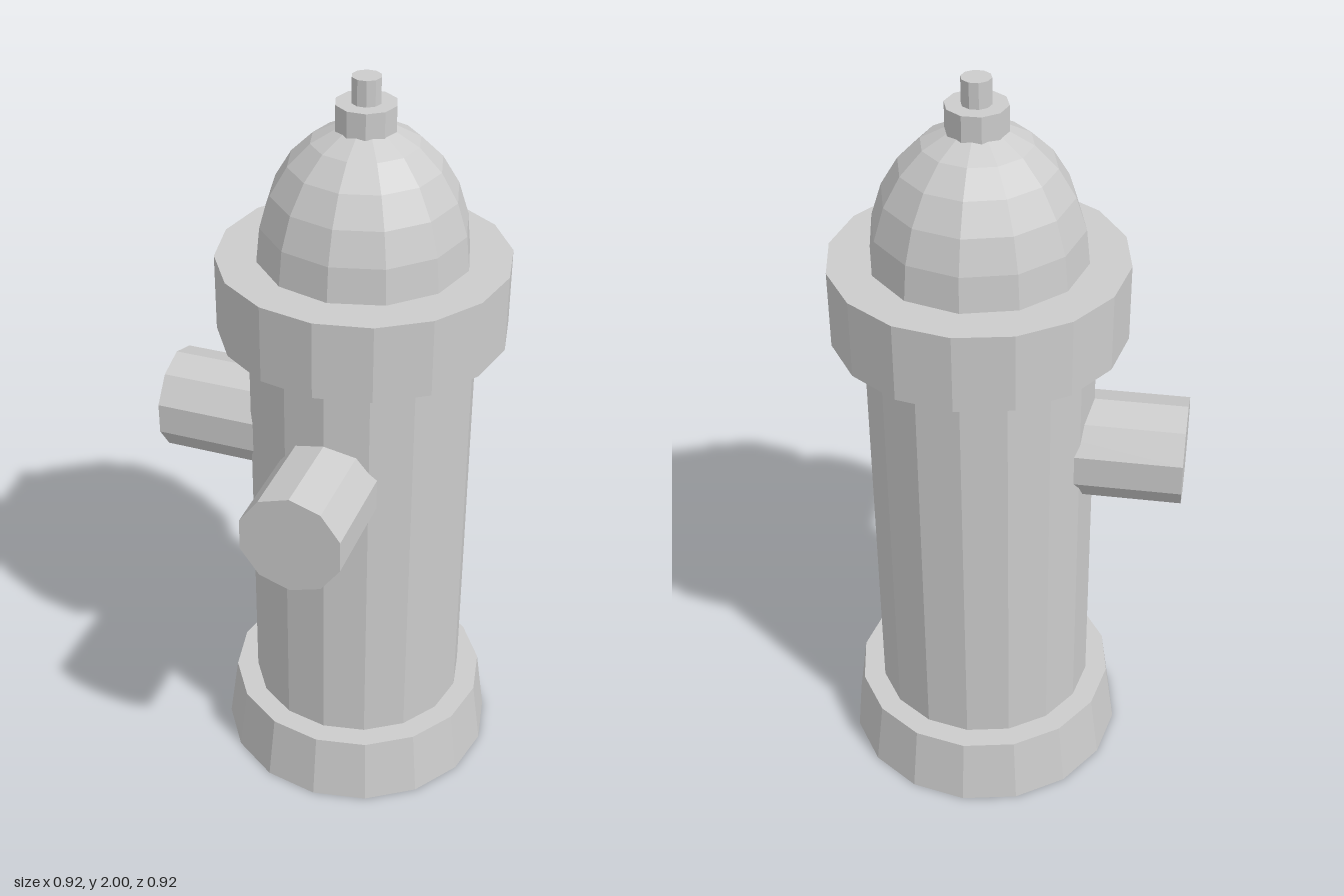
import * as THREE from 'three';

const material = new THREE.MeshStandardMaterial({ color: 0xcccccc, flatShading: true });

export function createModel() {
  const model = new THREE.Group();
  model.name = 'fireHydrant';

  const add = (name, geometry) => {
    const mesh = new THREE.Mesh(geometry, material);
    mesh.name = name;
    model.add(mesh);
    return mesh;
  };

  // Upright faceted cylinder between two heights
  const column = (name, rTop, rBottom, y0, y1, sides, turn = 0) => {
    const geometry = new THREE.CylinderGeometry(rTop, rBottom, y1 - y0, sides);
    geometry.rotateY(turn).translate(0, (y0 + y1) / 2, 0);
    return add(name, geometry);
  };

  column('base', 0.355, 0.38, 0, 0.185, 16);
  column('barrel', 0.295, 0.295, 0.18, 1.4, 16);

  // Collar with a slightly undercut lower face
  const profile = [[0.28, 1.365], [0.295, 1.365], [0.375, 1.33], [0.375, 1.535], [0, 1.535]];
  add('collar', new THREE.LatheGeometry(profile.map(([r, y]) => new THREE.Vector2(r, y)), 16));

  // Domed bonnet
  const dome = new THREE.SphereGeometry(0.272, 12, 6, 0, Math.PI * 2, 0, Math.PI / 2);
  dome.scale(1, 0.35 / 0.272, 1).translate(0, 1.535, 0);
  add('bonnet', dome);

  // Operating nut and stem
  column('nut', 0.077, 0.077, 1.86, 1.935, 10, Math.PI / 2);
  column('stem', 0.037, 0.037, 1.93, 2, 10, Math.PI / 2);

  // Front and right outlets, running out from the barrel axis
  [['frontOutlet', 0], ['rightOutlet', -Math.PI / 2]].forEach(([name, angle]) => {
    const length = 0.535;
    const outlet = new THREE.CylinderGeometry(0.138, 0.138, length, 10);
    outlet.rotateX(Math.PI / 2).translate(0, 1.0, length / 2).rotateY(angle);
    add(name, outlet);
  });

  // Outlets make the shape lopsided, so shift the axis to centre the whole
  model.children.forEach((part) => part.position.set(0.077, 0, -0.077));
  return model;
}
